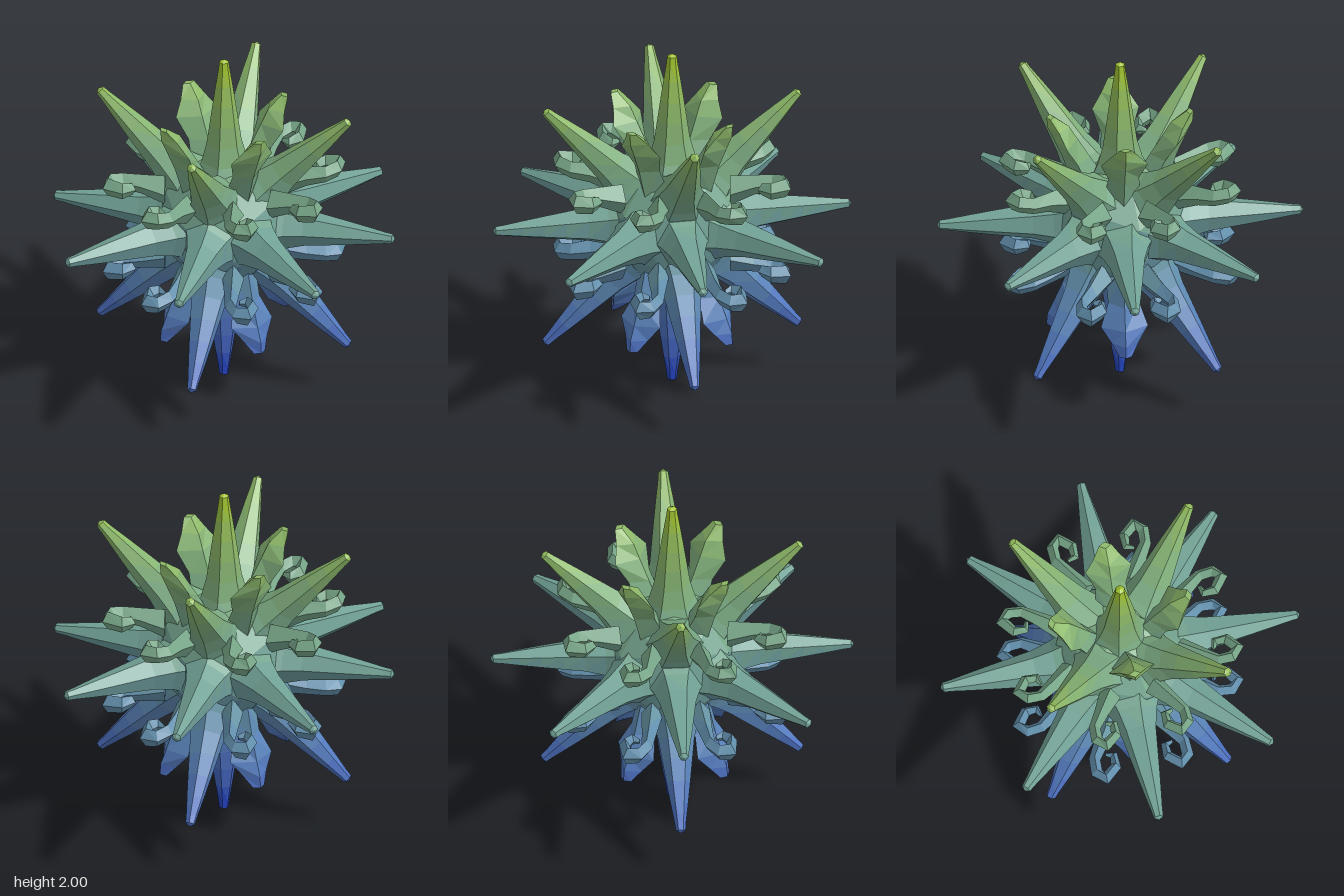
import * as THREE from 'three';

const V = (x, y, z) => new THREE.Vector3(x, y, z);
const UP = V(0, 1, 0);

// Height gradient, painted as bands: blue foot, teal middle, lime top
const STOPS = [[0, 0x1a3cc8], [0.3, 0x4a6cc4], [0.7, 0x628fb4], [1, 0x70a098],
  [1.4, 0x7dac80], [1.7, 0x8fba62], [2, 0xa6c81c]];
const BANDS = 20;

function bandColor(y) {
  let i = 0;
  while (i < STOPS.length - 2 && y > STOPS[i + 1][0]) i++;
  const [y0, c0] = STOPS[i], [y1, c1] = STOPS[i + 1];
  return new THREE.Color(c0).lerp(new THREE.Color(c1), (y - y0) / (y1 - y0));
}
const makeMaterials = () => Array.from({ length: BANDS }, (_, i) =>
  new THREE.MeshStandardMaterial({
    color: bandColor((i + 0.5) * 2 / BANDS), flatShading: true, side: THREE.DoubleSide,
  }));

// Sorts the triangles into height bands and gives each band its material
function paint(geometry, materials, name) {
  const p = (geometry.index ? geometry.toNonIndexed() : geometry).attributes.position;
  const bands = materials.map(() => []);
  for (let i = 0; i < p.count; i += 3) {
    const y = (p.getY(i) + p.getY(i + 1) + p.getY(i + 2)) / 3;
    const b = THREE.MathUtils.clamp(Math.floor(y / 2 * BANDS), 0, BANDS - 1);
    for (let k = i; k < i + 3; k++) bands[b].push(p.getX(k), p.getY(k), p.getZ(k));
  }
  const out = new THREE.BufferGeometry();
  out.setAttribute('position', new THREE.Float32BufferAttribute(bands.flat(), 3));
  let start = 0;
  bands.forEach((b, i) => {
    if (b.length) out.addGroup(start, b.length / 3, i);
    start += b.length / 3;
  });
  out.computeVertexNormals();
  const mesh = new THREE.Mesh(out, materials);
  mesh.name = name;
  return mesh;
}

// Skin over rings of points, closed at both ends; flip reverses the corners
function loft(rings, flip) {
  const pos = [], n = rings[0].length;
  const tri = (a, b, c) => (flip ? [a, c, b] : [a, b, c]).forEach(v => pos.push(v.x, v.y, v.z));
  for (let r = 0; r < rings.length - 1; r++) {
    const a = rings[r], b = rings[r + 1];
    for (let i = 0; i < n; i++) {
      const j = (i + 1) % n;
      tri(a[i], a[j], b[j]);
      tri(a[i], b[j], b[i]);
    }
  }
  const first = rings[0], last = rings[rings.length - 1];
  for (let i = 1; i < n - 1; i++) {
    tri(first[0], first[i + 1], first[i]);
    tri(last[0], last[i], last[i + 1]);
  }
  const g = new THREE.BufferGeometry();
  g.setAttribute('position', new THREE.Float32BufferAttribute(pos, 3));
  return g;
}

// Diamond cross-section: w along the side, u along the upward axis
function diamond(center, side, up, w, u) {
  return [[w, 0], [0, u], [-w, 0], [0, -u]].map(([s, t]) =>
    center.clone().addScaledVector(side, s).addScaledVector(up, t));
}

// Faceted spike along +y
function spikeGeometry(length) {
  const profile = [[0, 0.2], [0.24, 0.19], [0.37, 0.13], [0.48, 0.1], [0.6, 0.083], [0.72, 0.066],
    [0.84, 0.048], [0.94, 0.032], [0.985, 0.027], [1, 0]];
  return new THREE.LatheGeometry(profile.map(([d, r]) => new THREE.Vector2(r, d * length)), 6);
}

// Flared bud leaning outward on the diagonal of one octant
function budRings() {
  const out = V(1, 0, 1).normalize();
  const side = V(-1, 0, 1).normalize();
  return [[0.22, 0.16, 0.1, 0.1], [0.4, 0.24, 0.085, 0.075], [0.52, 0.3, 0.13, 0.065],
    [0.6, 0.34, 0.075, 0.06], [0.665, 0.385, 0.035, 0.02]].map(([y, d, w, u]) =>
    diamond(out.clone().multiplyScalar(d).setY(y), side, out, w, u));
}

// Curled hook lying level beside a z spike
function hookRings() {
  const path = [V(0.13, 0.2, 0.3), V(0.155, 0.235, 0.43), V(0.175, 0.25, 0.53), V(0.225, 0.265, 0.585),
    V(0.285, 0.265, 0.585), V(0.295, 0.255, 0.5), V(0.25, 0.25, 0.455), V(0.21, 0.25, 0.475)];
  const wide = [0.06, 0.04, 0.032, 0.034, 0.036, 0.03, 0.024, 0.01];
  const tall = [0.09, 0.06, 0.05, 0.05, 0.055, 0.05, 0.035, 0.015];
  return path.map((p, i) => {
    const ahead = path[Math.min(i + 1, path.length - 1)], behind = path[Math.max(i - 1, 0)];
    const side = UP.clone().cross(ahead.clone().sub(behind)).setY(0).normalize();
    return diamond(p, side, UP, wide[i], tall[i]);
  });
}

export function createModel() {
  const model = new THREE.Group();
  model.name = 'spikyStar';
  const materials = makeMaterials();
  const add = (geometry, name) =>
    model.add(paint(geometry.translate(0, 1, 0), materials, name));

  // Core
  add(new THREE.IcosahedronGeometry(0.37, 1), 'core');

  // Six axis spikes and twelve diagonal spikes
  for (let x = -1; x <= 1; x++) for (let y = -1; y <= 1; y++) for (let z = -1; z <= 1; z++) {
    const axes = Math.abs(x) + Math.abs(y) + Math.abs(z);
    if (axes !== 1 && axes !== 2) continue;
    const length = axes === 2 ? 1.01 : x ? 0.97 : 1;
    const turn = new THREE.Quaternion().setFromUnitVectors(UP, V(x, y, z).normalize());
    add(spikeGeometry(length).applyQuaternion(turn), axes === 1 ? 'axisSpike' : 'diagonalSpike');
  }

  // One bud and a mirrored pair of hooks in every octant
  for (const x of [-1, 1]) for (const y of [-1, 1]) for (const z of [-1, 1]) {
    const mirrored = x * y * z < 0;
    const place = (rings, swap) => rings.map(ring => ring.map(p =>
      swap ? V(p.z * x, p.y * y, p.x * z) : V(p.x * x, p.y * y, p.z * z)));
    add(loft(place(budRings(), false), mirrored), 'bud');
    add(loft(place(hookRings(), false), mirrored), 'frontBackHook');
    add(loft(place(hookRings(), true), !mirrored), 'sideHook');
  }
  return model;
}
